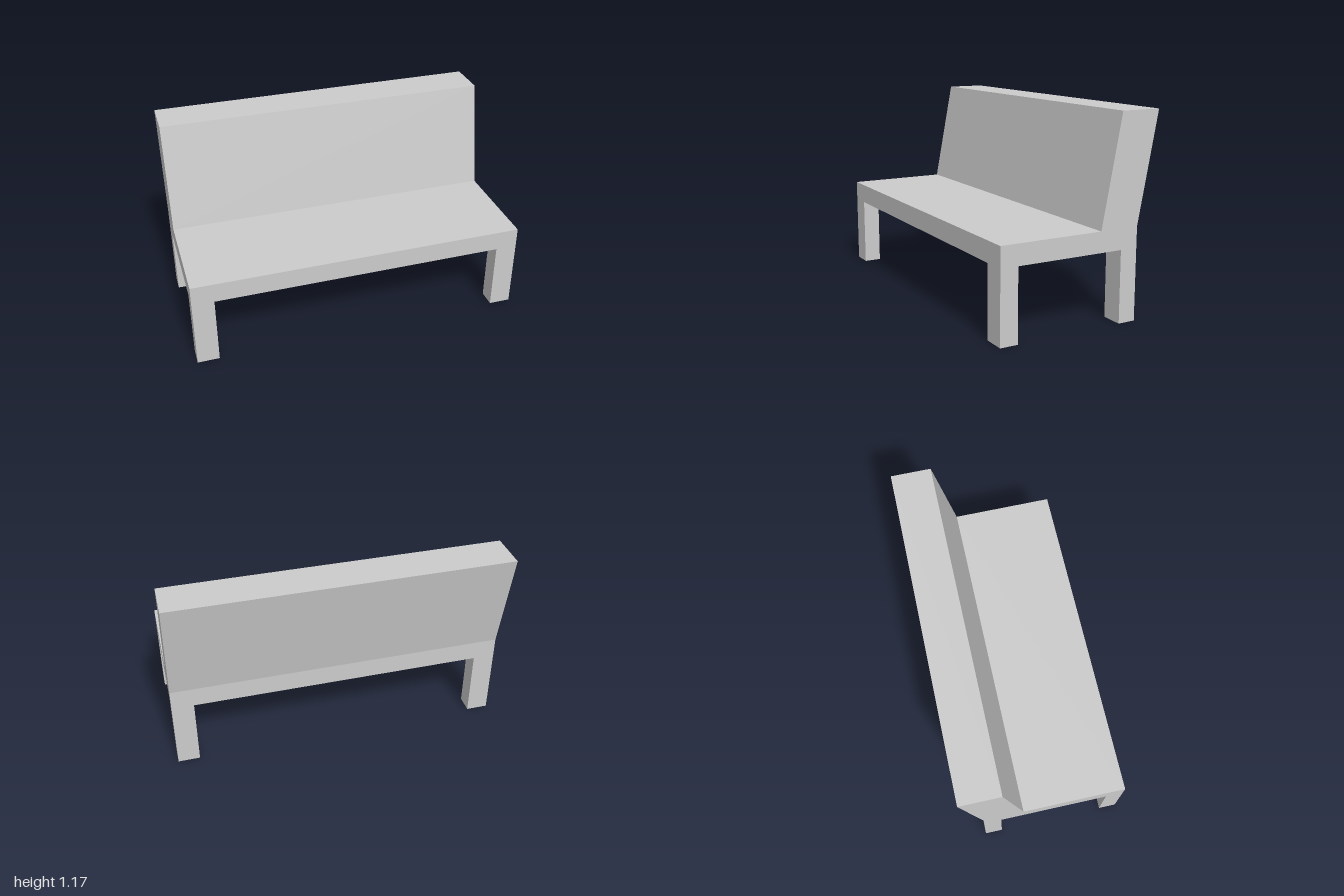
import * as THREE from 'three';

const material = new THREE.MeshStandardMaterial({ color: 0xcccccc, flatShading: true });

// Side profile given as [z, y] points, extruded across the full width in x
function extrudeAcross(name, points, width) {
  const shape = new THREE.Shape(points.map(([z, y]) => new THREE.Vector2(z, y)));
  const geometry = new THREE.ExtrudeGeometry(shape, { depth: width, bevelEnabled: false });
  geometry.translate(0, 0, -width / 2);
  geometry.rotateY(-Math.PI / 2);
  const mesh = new THREE.Mesh(geometry, material);
  mesh.name = name;
  return mesh;
}

export function createModel() {
  const bench = new THREE.Group();
  bench.name = 'bench';

  const width = 2;
  const front = 0.49, rear = -0.367;
  const underside = 0.418, seatTop = 0.537, top = 1.172;

  // Seat slab and leaning backrest share one continuous profile
  bench.add(extrudeAcross('seatAndBackrest', [
    [front, underside], [front, seatTop], [-0.128, seatTop],
    [-0.25, top], [-0.49, top], [rear, seatTop], [rear, underside],
  ], width));

  // Four square legs, flush with the seat corners
  const legWidth = 0.13, legDepth = 0.105;
  const legGeometry = new THREE.BoxGeometry(legWidth, underside, legDepth);
  const rows = { front: front - legDepth / 2, back: rear + legDepth / 2 };
  for (const [row, z] of Object.entries(rows)) {
    for (const side of [-1, 1]) {
      const leg = new THREE.Mesh(legGeometry, material);
      leg.name = `${row}${side > 0 ? 'Left' : 'Right'}Leg`;
      leg.position.set(side * (width - legWidth) / 2, underside / 2, z);
      bench.add(leg);
    }
  }
  return bench;
}
